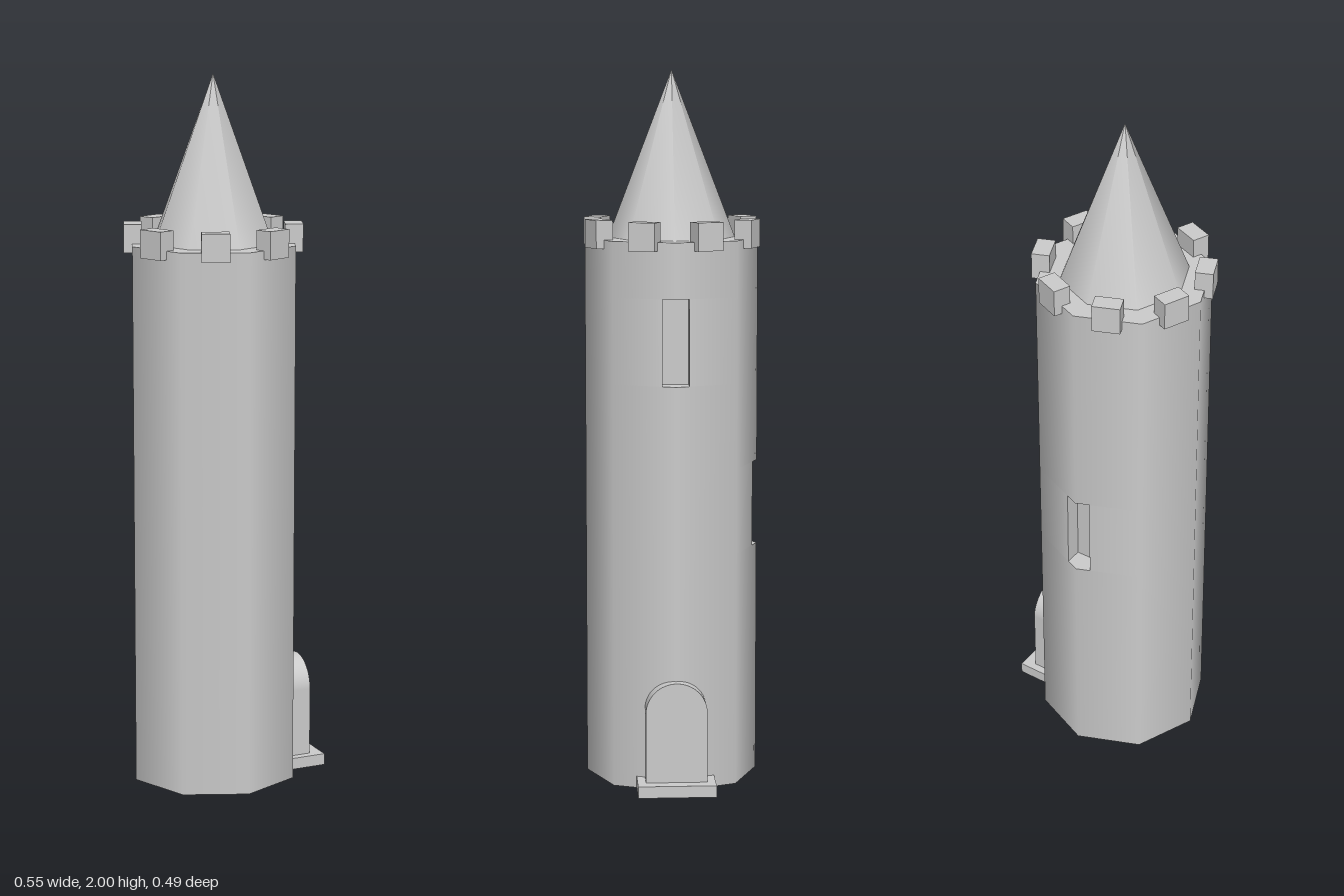
import * as THREE from 'three';

const CX = -0.033;        // tower axis
const R = 0.243;          // tower corner radius
const SIDES = 8;
const TOP = 1.535;
const SLOT = 0.037;       // half width of a window slot
const SLOT_BACK = 0.18;   // distance of a slot's back wall from the axis

const mat = new THREE.MeshStandardMaterial({ color: 0xcccccc });

function add(parent, name, geometry, x = 0, y = 0, z = 0) {
  const mesh = new THREE.Mesh(geometry, mat);
  mesh.name = name;
  mesh.position.set(x, y, z);
  parent.add(mesh);
  return mesh;
}

// Octagonal storey; the corner with index "slot" is cut in to form a window
function storey(y0, y1, slot = -1) {
  const pts = [];
  for (let k = 0; k < SIDES; k++) {
    const a = (k / SIDES) * Math.PI * 2;
    const c = Math.cos(a), s = Math.sin(a);
    const at = (r, t) => pts.push(new THREE.Vector2(c * r - s * t, s * r + c * t));
    if (k === slot) {
      const edge = R - SLOT * Math.tan(Math.PI / SIDES);
      at(edge, -SLOT);
      at(SLOT_BACK, -SLOT);
      at(SLOT_BACK, SLOT);
      at(edge, SLOT);
    } else at(R, 0);
  }
  const geo = new THREE.ExtrudeGeometry(new THREE.Shape(pts), { depth: y1 - y0, bevelEnabled: false });
  geo.rotateX(-Math.PI / 2);
  // Round shading on the outer wall, sharp edges in the slot
  const p = geo.attributes.position, n = geo.attributes.normal;
  for (let i = 0; i < p.count; i++) {
    const x = p.getX(i), z = p.getZ(i), r = Math.hypot(x, z);
    const facing = (n.getX(i) * x + n.getZ(i) * z) / r;
    if (r > 0.215 && facing > 0.6) n.setXYZ(i, x / r, 0, z / r);
  }
  return geo;
}

export function createModel() {
  const model = new THREE.Group();
  model.name = 'tower';

  // Wall, with one window at the back and one above the door
  const wall = new THREE.Group();
  wall.name = 'wall';
  model.add(wall);
  const storeys = [
    ['lowerWall', 0, 0.66],
    ['backWindowWall', 0.66, 0.9, 2],
    ['middleWall', 0.9, 1.14],
    ['sideWindowWall', 1.14, 1.38, 0],
    ['upperWall', 1.38, TOP],
  ];
  for (const [name, y0, y1, slot] of storeys) add(wall, name, storey(y0, y1, slot), CX, y0);

  // Battlements, one on each face
  const battlements = new THREE.Group();
  battlements.name = 'battlements';
  model.add(battlements);
  const block = new THREE.BoxGeometry(0.05, 0.078, 0.077);
  for (let k = 0; k < SIDES; k++) {
    const a = ((k + 0.5) / SIDES) * Math.PI * 2;
    const m = add(battlements, 'merlon', block, CX + Math.cos(a) * 0.223, 1.55, Math.sin(a) * 0.223);
    m.rotation.y = -a;
  }

  // Pointed roof
  const roofHeight = 2 - TOP;
  add(model, 'roof', new THREE.ConeGeometry(0.178, roofHeight, SIDES), CX, TOP + roofHeight / 2);

  // Arched door and its step
  const w = 0.086, spring = 0.229;
  const arch = new THREE.Shape();
  arch.moveTo(-w, 0.01);
  arch.lineTo(w, 0.01);
  arch.lineTo(w, spring);
  arch.absarc(0, spring, w, 0, Math.PI);
  arch.closePath();
  const doorGeo = new THREE.ExtrudeGeometry(arch, { depth: 0.085, bevelEnabled: false, curveSegments: 16 });
  doorGeo.rotateY(Math.PI / 2);
  // Smooth the curved top of the arch
  const p = doorGeo.attributes.position, n = doorGeo.attributes.normal;
  for (let i = 0; i < p.count; i++) {
    const dy = p.getY(i) - spring;
    if (dy > -1e-5 && n.getY(i) > 0.01) n.setXYZ(i, 0, dy / w, p.getZ(i) / w);
  }
  add(model, 'door', doorGeo, 0.15, 0, 0);
  add(model, 'doorstep', new THREE.BoxGeometry(0.122, 0.033, 0.218), 0.211, 0.0165, 0);

  return model;
}
